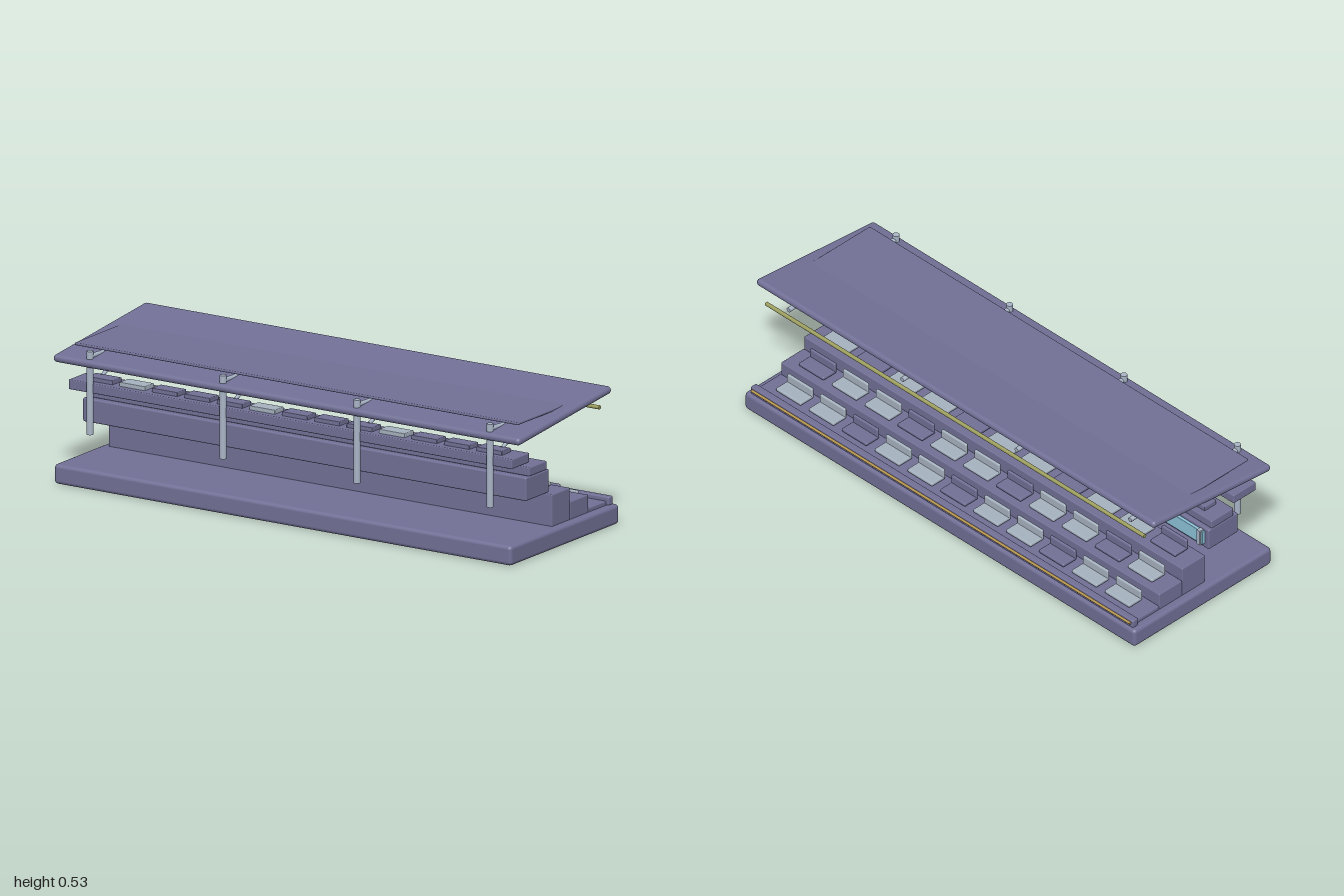
import * as THREE from 'three';
import { RoundedBoxGeometry } from 'three/addons/geometries/RoundedBoxGeometry.js';

const mat = (name, color) => Object.assign(new THREE.MeshStandardMaterial({ color }), { name });

export function createModel() {
  const concrete = mat('slate concrete', 0x717096);
  const steel = mat('steel', 0xa8b4c6);
  const paleSeat = mat('pale seat', 0xa6b2c0);
  const glass = mat('glass', 0x8cc4da);
  const olive = mat('olive light', 0x9c9e5e);
  const gold = mat('gold trim', 0xb5954e);

  const model = new THREE.Group();
  model.name = 'grandstand';

  const add = (parent, name, geometry, material) => {
    const mesh = new THREE.Mesh(geometry, material);
    mesh.name = name;
    parent.add(mesh);
    return mesh;
  };
  // Bevelled box given by its limits in y and z and its width and centre in x
  const block = (parent, name, material, width, y0, y1, z0, z1, bevel = 0.004, x = 0) => {
    const mesh = add(parent, name, new RoundedBoxGeometry(width, y1 - y0, z1 - z0, 2, bevel), material);
    mesh.position.set(x, (y0 + y1) / 2, (z0 + z1) / 2);
    return mesh;
  };
  // Straight round bar between two points
  const bar = (parent, name, material, a, b, radius) => {
    const from = new THREE.Vector3(...a), to = new THREE.Vector3(...b);
    const dir = to.clone().sub(from);
    const mesh = add(parent, name, new THREE.CylinderGeometry(radius, radius, dir.length(), 16), material);
    mesh.position.copy(from).add(to).multiplyScalar(0.5);
    mesh.quaternion.setFromUnitVectors(new THREE.Vector3(0, 1, 0), dir.normalize());
    return mesh;
  };

  // Base and stepped terraces
  block(model, 'base', concrete, 1.96, 0, 0.073, -0.345, 0.345, 0.014);
  const tiers = [
    { top: 0.088, z0: -0.305, z1: -0.19 },
    { top: 0.138, z0: -0.19, z1: -0.075 },
    { top: 0.19, z0: -0.075, z1: 0.04 },
  ];
  tiers.forEach(({ top, z0, z1 }, row) => {
    block(model, 'terrace', concrete, 1.9, 0.06, top, z0, z1);
    // L-shaped seats
    for (let i = 0; i < 11; i++) {
      const seat = new THREE.Group();
      seat.name = 'seat';
      seat.position.set((5 - i) * 0.165, top + 0.004, z0 + 0.081);
      model.add(seat);
      const material = (i + 2 * row) % 3 === 2 ? concrete : paleSeat;
      block(seat, 'seatPan', material, 0.125, 0, 0.014, -0.055, 0.012, 0.005);
      block(seat, 'seatBack', material, 0.125, 0.002, 0.045, 0, 0.0125, 0.005);
    }
  });

  // Trackside wall with a trim line
  block(model, 'frontWall', concrete, 1.92, 0.07, 0.103, -0.333, -0.305, 0.006);
  bar(model, 'wallTrim', gold, [-0.95, 0.09, -0.336], [0.95, 0.09, -0.336], 0.005);

  // Enclosed box level with its window band
  block(model, 'suite', concrete, 1.9, 0.203, 0.29, 0.058, 0.205, 0.006);
  block(model, 'windowBand', glass, 1.86, 0.222, 0.278, 0.046, 0.062, 0.002);
  for (let i = -3; i <= 3; i++) {
    block(model, 'mullion', steel, 0.018, 0.218, 0.282, 0.039, 0.06, 0.002, i * 0.305);
  }

  // Two upper terraces with block seats
  const upper = [
    { y: 0.29, top: 0.323, z0: 0.073, z1: 0.183, s0: 0.098, s1: 0.157, seatTop: 0.34 },
    { y: 0.342, top: 0.378, z0: 0.183, z1: 0.295, s0: 0.21, s1: 0.268, seatTop: 0.393 },
  ];
  upper.forEach((u, row) => {
    block(model, 'upperTerrace', concrete, 1.9, u.y, u.top, u.z0, u.z1);
    for (let i = -6; i <= 6; i++) {
      const material = (i + row + 8) % 4 === 0 ? paleSeat : concrete;
      block(model, 'upperSeat', material, 0.11, u.top - 0.003, u.seatTop, u.s0, u.s1, 0.003, i * 0.139);
    }
  });

  // Columns with roof beams and diagonal struts
  for (const x of [-0.857, -0.287, 0.287, 0.857]) {
    bar(model, 'column', steel, [x, 0.19, 0.295], [x, 0.497, 0.295], 0.0125);
    bar(model, 'roofBeam', steel, [x, 0.477, 0.29], [x, 0.454, -0.245], 0.009);
    bar(model, 'strut', steel, [x, 0.39, 0.218], [x, 0.465, 0.045], 0.007);
  }

  // Tilted roof, level top panel and lighting rail
  const roof = add(model, 'roof', new RoundedBoxGeometry(2, 0.028, 0.594, 4, 0.0135), concrete);
  roof.position.set(0, 0.484, 0.0275);
  roof.rotation.x = 0.105;
  block(model, 'roofPanel', concrete, 1.9, 0.495, 0.505, -0.1, 0.256, 0.004);
  bar(model, 'lightRail', olive, [-0.95, 0.442, -0.263], [0.95, 0.442, -0.263], 0.0075);

  return model;
}
